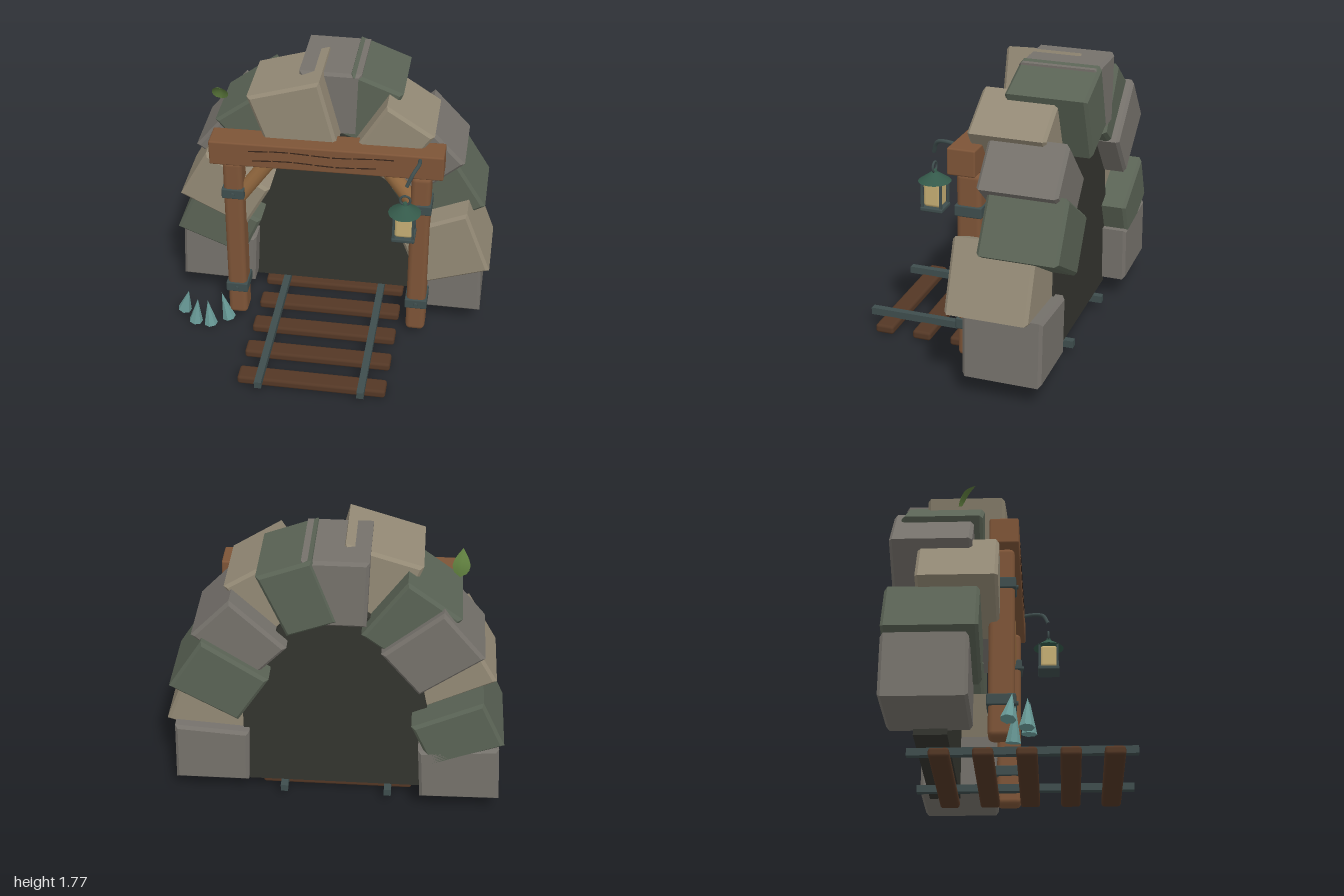
import * as THREE from 'three';
import { RoundedBoxGeometry } from 'three/addons/geometries/RoundedBoxGeometry.js';

const mat = (color, extra = {}) => new THREE.MeshStandardMaterial({ color, ...extra });
const MAT = {
  grey: mat(0x75716b), tan: mat(0x938975), green: mat(0x5a6355),
  wood: mat(0x7d5437), brace: mat(0x94693f), sleeper: mat(0x533725), crack: mat(0x38251a),
  metal: mat(0x3e4d4d), dark: mat(0x33342e), roof: mat(0x34594a), glass: mat(0xc4ad73),
  crystal: mat(0x6a9c99, { flatShading: true }), leaf: mat(0x5c7a3c, { side: THREE.DoubleSide }),
};

export function createModel() {
  const root = new THREE.Group();
  root.name = 'mineEntrance';

  const add = (name, geo, material, x = 0, y = 0, z = 0, parent = root) => {
    const m = new THREE.Mesh(geo, material);
    m.name = name;
    m.position.set(x, y, z);
    parent.add(m);
    return m;
  };
  const rbox = (w, h, d, r) => new RoundedBoxGeometry(w, h, d, 2, r);

  // Rod or cone running from point a to point b
  const rod = (name, a, b, r0, r1, sides, material) => {
    const p = new THREE.Vector3(...a), q = new THREE.Vector3(...b);
    const dir = q.clone().sub(p);
    const m = add(name, new THREE.CylinderGeometry(r1, r0, dir.length(), sides), material);
    m.position.copy(p).add(q).multiplyScalar(0.5);
    m.quaternion.setFromUnitVectors(new THREE.Vector3(0, 1, 0), dir.normalize());
  };

  // Chamfered arch stone; its outer edge is centred on the local origin, inner edge is narrower
  const stoneGeometry = (w, h, d) => {
    const b = 0.018, o = w / 2, i = w * 0.46;
    const s = new THREE.Shape([[-i, -h], [i, -h], [o, 0], [-o, 0]].map((p) => new THREE.Vector2(...p)));
    const g = new THREE.ExtrudeGeometry(s, {
      depth: d - 2 * b, bevelThickness: b, bevelSize: b, bevelOffset: -b, bevelSegments: 1,
    });
    return g.translate(0, 0, b - d);
  };

  // Outer edge middle x, y, outward angle, width, radial size, front z, depth, colour
  const stones = [
    [0.95, 0.335, 2, 0.40, 0.44, -0.14, 0.47, 'grey'],
    [0.92, 0.735, 21, 0.44, 0.45, -0.05, 0.49, 'tan'],
    [0.84, 1.05, 32, 0.38, 0.45, -0.22, 0.47, 'green'],
    [0.69, 1.34, 43, 0.33, 0.44, -0.17, 0.47, 'grey'],
    [0.48, 1.56, 57, 0.34, 0.43, -0.05, 0.46, 'tan'],
    [0.265, 1.71, 69, 0.33, 0.42, -0.20, 0.48, 'green'],
    [-0.015, 1.76, 90, 0.37, 0.42, -0.20, 0.47, 'grey'],
    [-0.275, 1.71, 107, 0.45, 0.43, -0.05, 0.46, 'tan'],
    [-0.56, 1.51, 127, 0.38, 0.44, -0.17, 0.47, 'green'],
    [-0.73, 1.32, 141, 0.38, 0.45, -0.22, 0.47, 'grey'],
    [-0.845, 1.055, 151, 0.36, 0.45, -0.07, 0.46, 'tan'],
    [-0.925, 0.715, 156, 0.33, 0.45, -0.17, 0.53, 'green'],
    [-0.975, 0.345, 177, 0.38, 0.47, -0.22, 0.48, 'grey'],
  ];
  const arch = new THREE.Group();
  arch.name = 'stoneArch';
  root.add(arch);
  for (const [x, y, a, w, h, z, d, c] of stones) {
    add('archStone', stoneGeometry(w, h, d), MAT[c], x, y, z, arch).rotation.z = THREE.MathUtils.degToRad(a - 90);
  }

  // Dark wall filling the opening
  const side = [[0.54, 0.11], [0.54, 0.7], [0.5, 0.9], [0.42, 1.1], [0.28, 1.28], [0.1, 1.4]];
  const outline = [...side, ...side.map(([x, y]) => [-x, y]).reverse()];
  const wall = new THREE.Shape(outline.map((p) => new THREE.Vector2(...p)));
  add('tunnelDarkness', new THREE.ExtrudeGeometry(wall, { depth: 0.19, bevelEnabled: false }), MAT.dark, 0, 0, -0.55);

  // Posts with metal bands and bolts, and diagonal braces
  for (const s of [-1, 1]) {
    const x = s * 0.57 - 0.01;
    add('post', rbox(0.12, 1.16, 0.148, 0.03), MAT.wood, x, 0.64, -0.06);
    for (const y of [0.275, 0.995]) {
      add('postBand', rbox(0.138, 0.068, 0.165, 0.008), MAT.metal, x, y, -0.06);
      const bolt = add('bolt', new THREE.CylinderGeometry(0.013, 0.013, 0.016, 8), MAT.metal, x, y, 0.026);
      bolt.rotation.x = Math.PI / 2;
    }
    rod('brace', [s * 0.56, 0.93, -0.06], [s * 0.32, 1.27, -0.06], 0.048, 0.048, 12, MAT.brace);
  }

  // Lintel with grain cracks
  const lintel = new THREE.Group();
  lintel.name = 'lintel';
  lintel.position.set(-0.01, 1.305, -0.044);
  lintel.rotation.z = 0.012;
  root.add(lintel);
  add('beam', rbox(1.4, 0.16, 0.168, 0.01), MAT.wood, 0, 0, 0, lintel);
  for (const [y, x0, n] of [[0.035, -0.46, 7], [-0.03, -0.44, 6]]) {
    for (let i = 0; i < n; i++) {
      const c = add('grainCrack', new THREE.BoxGeometry(0.115, 0.007, 0.004), MAT.crack,
        x0 + 0.06 + i * 0.125, y + 0.006 * Math.sin(i * 1.3), 0.084, lintel);
      c.rotation.z = 0.06 * Math.cos(i * 1.3);
    }
  }

  // Track
  for (const x of [-0.322, 0.302]) {
    add('rail', new THREE.BoxGeometry(0.043, 0.045, 1.31), MAT.metal, x, 0.088, 0.047);
  }
  for (let i = 0; i < 5; i++) {
    add('sleeper', rbox(0.91, 0.056, 0.118, 0.018), MAT.sleeper, -0.01, 0.04, 0.565 - i * 0.245);
  }

  // Hook and lantern
  const hook = new THREE.CatmullRomCurve3([[0.55, 1.365, 0.03], [0.55, 1.375, 0.1], [0.525, 1.355, 0.16], [0.49, 1.28, 0.195]]
    .map((p) => new THREE.Vector3(...p)));
  add('hook', new THREE.TubeGeometry(hook, 16, 0.012, 8), MAT.metal);
  const lantern = new THREE.Group();
  lantern.name = 'lantern';
  lantern.position.set(0.485, 0, 0.195);
  root.add(lantern);
  add('lanternRing', new THREE.TorusGeometry(0.03, 0.007, 8, 20), MAT.metal, 0, 1.185, 0, lantern);
  add('lanternRoof', new THREE.CylinderGeometry(0.018, 0.097, 0.055, 20), MAT.roof, 0, 1.127, 0, lantern);
  add('lanternCap', new THREE.CylinderGeometry(0.012, 0.018, 0.02, 12), MAT.roof, 0, 1.16, 0, lantern);
  add('lanternGlass', rbox(0.108, 0.15, 0.108, 0.02), MAT.glass, 0, 1.025, 0, lantern);
  add('lanternBase', rbox(0.138, 0.026, 0.138, 0.008), MAT.metal, 0, 0.938, 0, lantern);
  for (const x of [-0.057, 0.057]) for (const z of [-0.057, 0.057]) {
    add('lanternFrame', new THREE.BoxGeometry(0.014, 0.16, 0.014), MAT.metal, x, 1.025, z, lantern);
  }

  // Crystals: base point to tip
  const crystals = [
    [[-0.94, 0.035, -0.01], [-0.9, 0.2, 0.01]], [[-0.845, 0.025, 0.085], [-0.823, 0.205, 0.09]],
    [[-0.745, 0.025, 0.095], [-0.756, 0.21, 0.1]], [[-0.645, 0.015, 0.005], [-0.682, 0.22, 0.02]],
  ];
  for (const [a, b] of crystals) rod('crystal', a, b, 0.044, 0, 7, MAT.crystal);

  // Folded leaf, pointed at the top
  const leaf = new THREE.PlaneGeometry(0.1, 0.165, 4, 8);
  const p = leaf.attributes.position;
  for (let i = 0; i < p.count; i++) {
    const t = THREE.MathUtils.clamp(p.getY(i) / 0.165 + 0.5, 0, 1);
    const x = p.getX(i) * Math.sin(Math.PI * Math.pow(t, 0.7));
    p.setXYZ(i, x, p.getY(i), Math.abs(x) * 0.35 - 0.03 * Math.sin(Math.PI * t));
  }
  leaf.computeVertexNormals();
  add('leaf', leaf, MAT.leaf, -0.7, 1.533, -0.26).rotation.set(0.65, 0, 0.08);

  return root;
}
